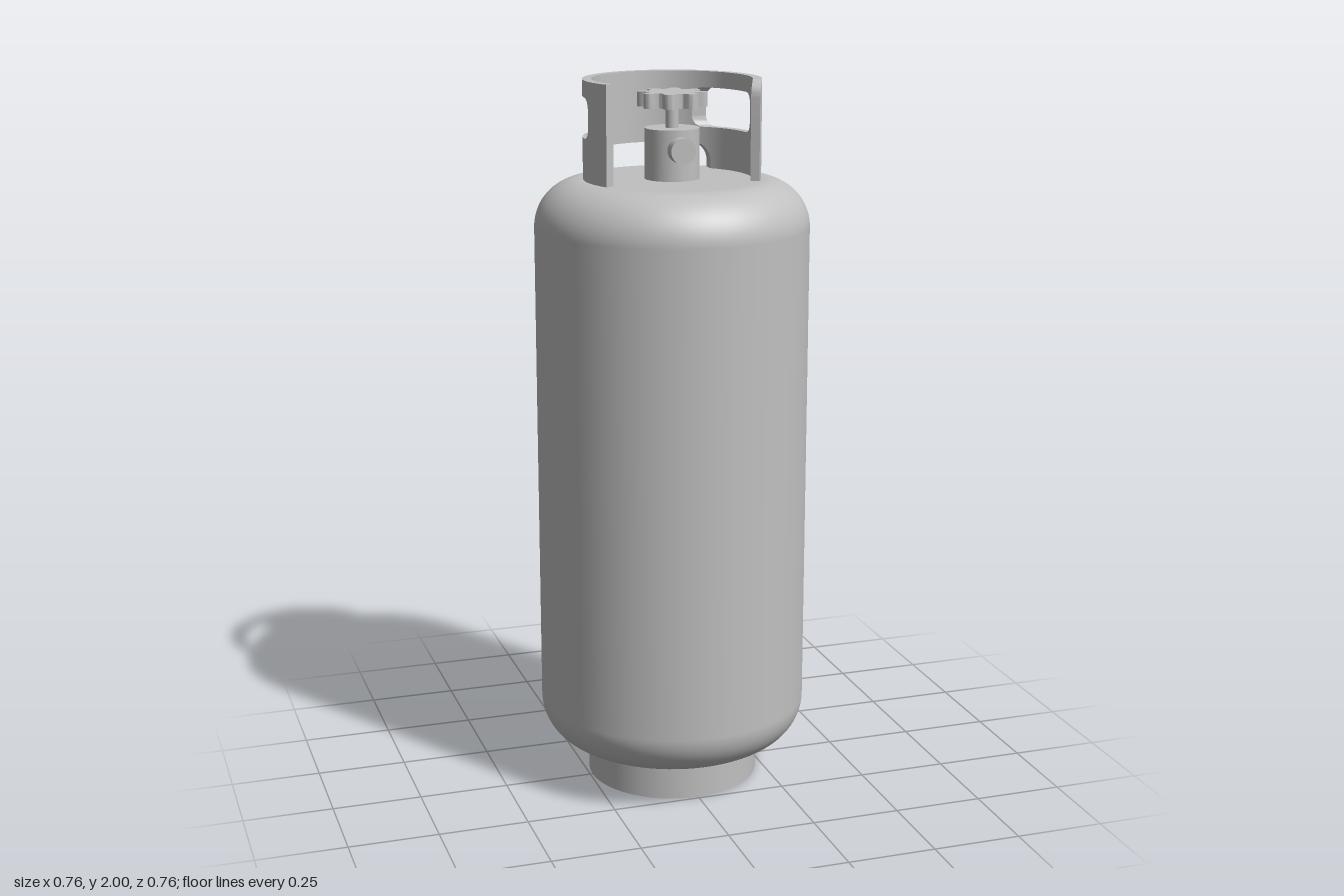
import * as THREE from 'three';
import { toCreasedNormals } from 'three/addons/utils/BufferGeometryUtils.js';

const OUTER = 0.243, INNER = 0.218;
const RAD = Math.PI / 180;

// Height lost to a rounded corner of radius r, at distance d from the edge
const fillet = (d, r) => (d >= r ? 0 : r - Math.sqrt(Math.max(0, r * r - (r - d) ** 2)));

// Adds one curved wall block. Angles run from the back towards +x;
// lo and hi give heights from the arc distances to both ends.
function addBlock(pos, index, start, end, lo, hi) {
  const n = 28, base = pos.length / 3;
  const length = OUTER * (end.outer - start.outer);
  for (let s = 0; s <= n; s++) {
    const t = (1 - Math.cos((Math.PI * s) / n)) / 2;
    const a = THREE.MathUtils.lerp(start.outer, end.outer, t);
    const b = THREE.MathUtils.lerp(start.inner, end.inner, t);
    const y0 = lo(t * length, (1 - t) * length), y1 = hi(t * length, (1 - t) * length);
    for (const [r, angle, y] of [[OUTER, a, y0], [OUTER, a, y1], [INNER, b, y1], [INNER, b, y0]]) {
      pos.push(r * Math.sin(angle), y, -r * Math.cos(angle));
    }
  }
  const quad = (a, b, c, d) => index.push(a, b, c, a, c, d);
  for (let s = 0; s < n; s++) {
    const i = base + s * 4, j = i + 4;
    for (let k = 0; k < 4; k++) {
      const m = (k + 1) % 4;
      quad(j + k, i + k, i + m, j + m);
    }
  }
  const e = base + n * 4;
  quad(base, base + 3, base + 2, base + 1);
  quad(e, e + 1, e + 2, e + 3);
}

// Collar guard: straight-cut side windows, a notch at the back, open front
function collarGeometry() {
  const pos = [], index = [];
  const radial = (deg) => ({ outer: deg * RAD, inner: deg * RAD });
  const atZ = (z) => ({ outer: Math.acos(-z / OUTER), inner: Math.acos(-z / INNER) });
  const atX = (x) => ({ outer: Math.asin(x / OUTER), inner: Math.asin(x / INNER) });
  const mirror = (p) => ({ outer: -p.outer, inner: -p.inner });
  const flat = (y) => () => y;

  const first = radial(-116.5), last = radial(121.5);
  const back = atZ(-0.183), front = atZ(0.02), notch = atX(0.162);
  const bottom = 1.725, seam = 1.82, mid = 1.9, top = 2;

  // Bottom band with the notch
  addBlock(pos, index, first, mirror(notch), flat(bottom), flat(seam));
  addBlock(pos, index, mirror(notch), notch,
    (d0, d1) => 1.802 - fillet(Math.min(d0, d1), 0.055), flat(seam));
  addBlock(pos, index, notch, last, flat(bottom), flat(seam));

  // Bands below and above the middle of the windows
  const stops = [first, mirror(front), mirror(back), back, front, last];
  for (let k = 0; k < 5; k++) {
    const isWindow = k === 1 || k === 3;
    const corner = (d0, d1) => fillet(Math.min(d0, d1), 0.03);
    addBlock(pos, index, stops[k], stops[k + 1], flat(seam),
      isWindow ? (d0, d1) => 1.845 + corner(d0, d1) : flat(mid));
    addBlock(pos, index, stops[k], stops[k + 1],
      isWindow ? (d0, d1) => 1.955 - corner(d0, d1) : flat(mid),
      k === 4 ? (d0, d1) => top - fillet(d1, 0.045) : flat(top));
  }

  const geometry = new THREE.BufferGeometry();
  geometry.setAttribute('position', new THREE.Float32BufferAttribute(pos, 3));
  geometry.setIndex(index);
  return toCreasedNormals(geometry, 0.5);
}

// Tank with rounded shoulders
function tankGeometry() {
  const R = 0.378, r = 0.13, y0 = 0.105, y1 = 1.73, steps = 14;
  const points = [new THREE.Vector2(0, y0)];
  for (const [cy, from] of [[y0 + r, -90], [y1 - r, 0]]) {
    for (let i = 0; i <= steps; i++) {
      const a = (from + (90 * i) / steps) * RAD;
      points.push(new THREE.Vector2(R - r + r * Math.cos(a), cy + r * Math.sin(a)));
    }
  }
  points.push(new THREE.Vector2(0, y1));
  return new THREE.LatheGeometry(points, 72);
}

// Eight-lobed handwheel
function handwheelGeometry() {
  const points = [], n = 128;
  for (let i = 0; i < n; i++) {
    const a = (i / n) * Math.PI * 2;
    const r = 0.081 - 0.0145 * Math.tanh(1.6 * Math.cos(8 * a)) / Math.tanh(1.6);
    points.push(new THREE.Vector2(r * Math.cos(a), r * Math.sin(a)));
  }
  const geometry = new THREE.ExtrudeGeometry(new THREE.Shape(points), { depth: 0.04, bevelEnabled: false });
  geometry.rotateX(-Math.PI / 2);
  return toCreasedNormals(geometry, 0.7);
}

export function createModel() {
  const group = new THREE.Group();
  const steel = new THREE.MeshStandardMaterial({ color: 0xc0c0c0 });
  steel.name = 'grey steel';

  const add = (name, geometry, x = 0, y = 0, z = 0) => {
    const mesh = new THREE.Mesh(geometry, steel);
    mesh.name = name;
    mesh.position.set(x, y, z);
    group.add(mesh);
    return mesh;
  };

  add('footRing', new THREE.CylinderGeometry(OUTER, OUTER, 0.12, 72), 0, 0.06, 0);
  add('tank', tankGeometry());
  add('collar', collarGeometry());

  // Valve
  add('valveBody', new THREE.CylinderGeometry(0.075, 0.075, 0.143, 40), 0, 1.7965, 0);
  add('valveOutlet', new THREE.CylinderGeometry(0.035, 0.035, 0.1, 32), 0, 1.815, 0.052)
    .rotation.x = Math.PI / 2;
  add('valveStem', new THREE.CylinderGeometry(0.018, 0.018, 0.07, 24), 0, 1.897, 0);
  add('handwheel', handwheelGeometry(), 0, 1.925, 0);

  return group;
}
